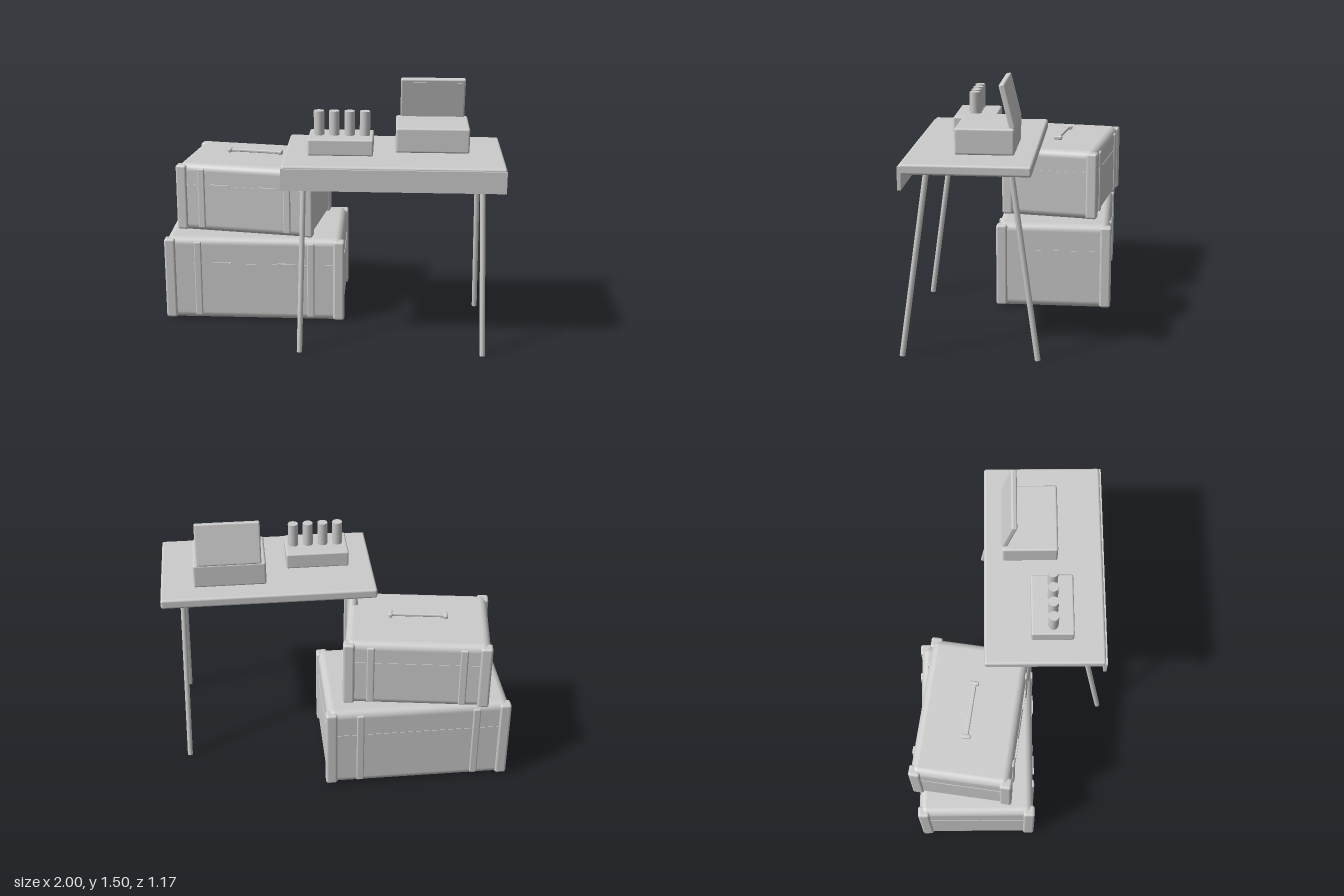
import * as THREE from 'three';
import { RoundedBoxGeometry } from 'three/addons/geometries/RoundedBoxGeometry.js';

const grey = new THREE.MeshStandardMaterial({ color: 0xcccccc });
grey.name = 'plain grey';

function add(parent, name, geometry, x, y, z) {
  const mesh = new THREE.Mesh(geometry, grey);
  mesh.name = name;
  mesh.position.set(x, y, z);
  parent.add(mesh);
  return mesh;
}
const box = (w, h, d) => new THREE.BoxGeometry(w, h, d);
const soft = (w, h, d, r) => new RoundedBoxGeometry(w, h, d, 3, r);

// Trunk with corner guards, straps, a seam ridge and front latches; y is measured from its base
function makeTrunk({ name, w, h, d, seamY, strapX, latchX }) {
  const trunk = new THREE.Group();
  trunk.name = name;
  const bw = w - 0.02, bd = d - 0.02;
  add(trunk, 'trunkBody', soft(bw, h, bd, 0.045), 0, h / 2, 0);
  add(trunk, 'seamRidge', box(bw + 0.006, 0.01, bd + 0.006), 0, seamY, 0);
  for (const sx of [-1, 1]) {
    for (const sz of [-1, 1]) {
      add(trunk, 'cornerGuard', soft(0.068, h - 0.018, 0.068, 0.015),
        sx * (w / 2 - 0.034), h / 2, sz * (d / 2 - 0.034));
      add(trunk, 'strap', soft(0.044, h - 0.05, 0.03, 0.008),
        sx * strapX, h / 2, sz * (bd / 2 - 0.006));
    }
    add(trunk, 'latch', box(0.113, 0.024, 0.02), sx * latchX, seamY, bd / 2);
  }
  return trunk;
}

// Round leg from the table down to a splayed foot
function addLeg(parent, top, foot) {
  const dir = top.clone().sub(foot);
  const leg = add(parent, 'tableLeg', new THREE.CylinderGeometry(0.016, 0.016, dir.length(), 10), 0, 0, 0);
  leg.position.copy(top).add(foot).multiplyScalar(0.5);
  leg.quaternion.setFromUnitVectors(new THREE.Vector3(0, 1, 0), dir.normalize());
}

export function createModel() {
  const model = new THREE.Group();
  model.name = 'deskAndTrunks';

  // Stacked trunks
  const lower = makeTrunk({ name: 'lowerTrunk', w: 1.09, h: 0.525, d: 0.695, seamY: 0.358, strapX: 0.342, latchX: 0.195 });
  lower.position.set(-0.455, 0.005, -0.207);
  const upper = makeTrunk({ name: 'upperTrunk', w: 0.846, h: 0.425, d: 0.59, seamY: 0.292, strapX: 0.265, latchX: 0.148 });
  upper.position.set(-0.477, 0.53, -0.23);
  upper.rotation.y = -0.15;
  model.add(lower, upper);

  // Carry handle above the upper trunk
  const handle = new THREE.Group();
  handle.name = 'carryHandle';
  handle.position.y = 0.448;
  upper.add(handle);
  add(handle, 'handleBar', soft(0.33, 0.018, 0.024, 0.006), 0, 0, 0);
  for (const s of [-1, 1]) add(handle, 'handleEnd', soft(0.024, 0.025, 0.052, 0.008), s * 0.16, 0, 0);

  // Table
  const table = new THREE.Group();
  table.name = 'table';
  model.add(table);
  add(table, 'tableTop', soft(1.25, 0.058, 0.695, 0.014), 0.375, 1.081, 0.199);
  add(table, 'frontApron', box(1.25, 0.125, 0.02), 0.375, 1.0325, 0.546);
  for (const [tx, fx] of [[-0.13, -0.15], [0.875, 0.9]]) {
    for (const [tz, fz] of [[0.42, 0.57], [-0.03, -0.177]]) {
      addLeg(table, new THREE.Vector3(tx, 1.06, tz), new THREE.Vector3(fx, 0.002, fz));
    }
  }

  // Small stand holding four tubes
  const rack = new THREE.Group();
  rack.name = 'tubeRack';
  model.add(rack);
  add(rack, 'rackBase', soft(0.37, 0.095, 0.245, 0.01), 0.074, 1.1675, 0.243);
  for (let i = 0; i < 4; i++) {
    add(rack, 'tube', new THREE.CylinderGeometry(0.03, 0.03, 0.15, 12), -0.053 + i * 0.0875, 1.28, 0.245);
  }

  // Box with a raised lid leaning forward
  const device = new THREE.Group();
  device.name = 'lidBox';
  model.add(device);
  add(device, 'boxBody', soft(0.42, 0.145, 0.322, 0.012), 0.596, 1.1925, 0.12);
  const lid = add(device, 'lid', soft(0.375, 0.25, 0.034, 0.01), 0.599, 1.38, 0);
  lid.rotation.x = 0.24;
  add(lid, 'lidPanel', box(0.335, 0.21, 0.006), 0, 0, 0.016);

  return model;
}
